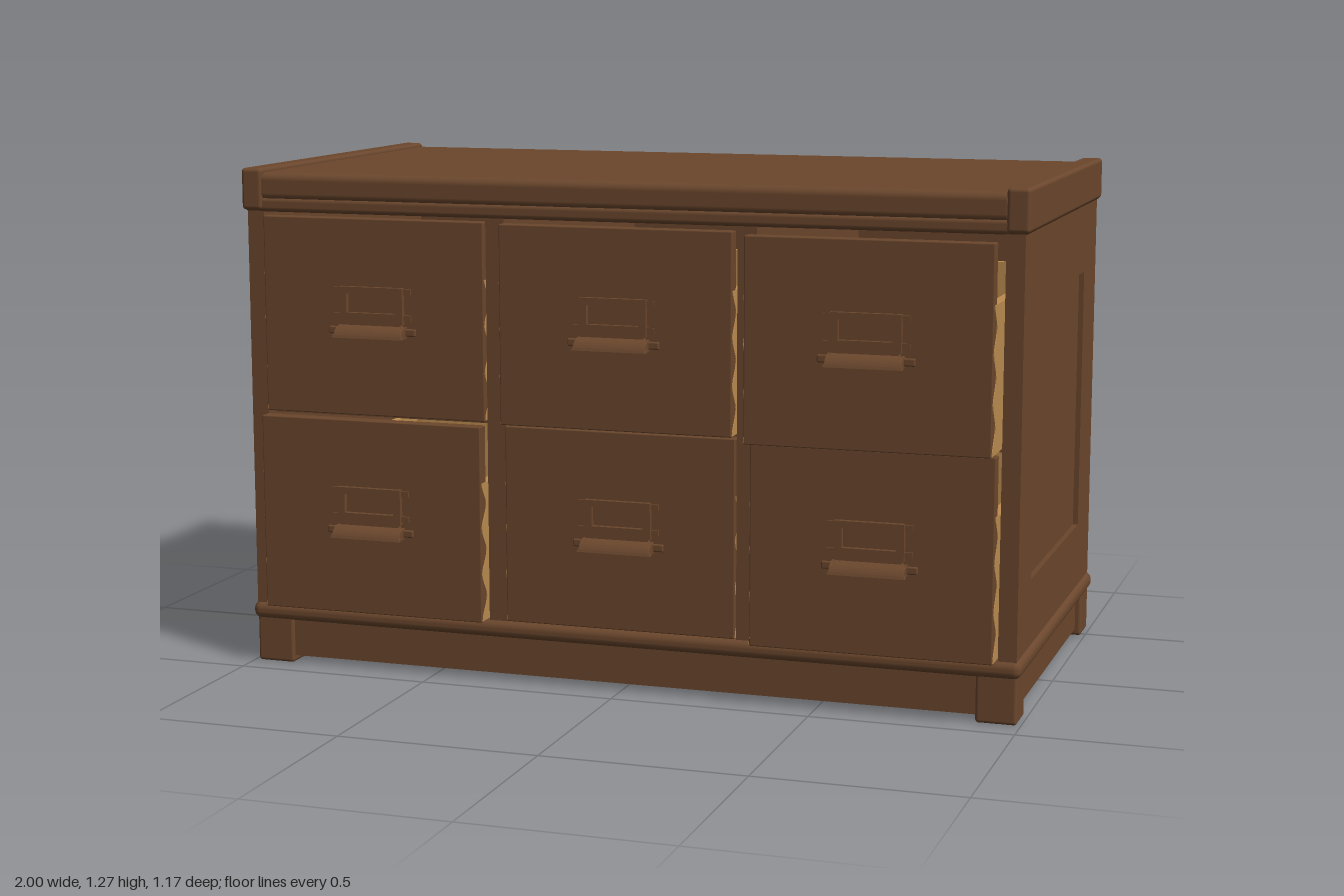
import * as THREE from 'three';
import { RoundedBoxGeometry } from 'three/addons/geometries/RoundedBoxGeometry.js';

const material = (name, color) => {
  const m = new THREE.MeshStandardMaterial({ color });
  m.name = name;
  return m;
};

export function createModel() {
  const brown = material('brown wood', 0x6b472d);
  const pale = material('pale wood', 0xbd8c50);
  const model = new THREE.Group();
  model.name = 'drawerCabinet';

  const add = (parent, name, geometry, mat = brown) => {
    const mesh = new THREE.Mesh(geometry, mat);
    mesh.name = name;
    parent.add(mesh);
    return mesh;
  };
  // Box given by its limits on each axis, optionally with rounded edges
  const box = (parent, name, [x0, x1], [y0, y1], [z0, z1], mat = brown, radius = 0) => {
    const size = [x1 - x0, y1 - y0, z1 - z0];
    const g = radius ? new RoundedBoxGeometry(...size, 3, radius) : new THREE.BoxGeometry(...size);
    g.translate((x0 + x1) / 2, (y0 + y1) / 2, (z0 + z1) / 2);
    return add(parent, name, g, mat);
  };
  // Outline drawn in (z, y), extruded along x from x0 to x1
  const extrudeX = (parent, name, shape, x0, x1, mat = brown, curveSegments = 8) => {
    const g = new THREE.ExtrudeGeometry(shape, { depth: x1 - x0, bevelEnabled: false, curveSegments });
    g.rotateY(-Math.PI / 2).translate(x1, 0, 0);
    return add(parent, name, g, mat);
  };
  const rect = (Kind, x0, x1, y0, y1) => {
    const s = new Kind();
    s.moveTo(x0, y0).lineTo(x1, y0).lineTo(x1, y1).lineTo(x0, y1).closePath();
    return s;
  };

  // Carcass
  box(model, 'floorBoard', [-0.97, 0.97], [0.115, 0.157], [-0.56, 0.42]);
  box(model, 'backPanel', [-0.985, 0.985], [0.15, 1.165], [-0.577, -0.555]);
  box(model, 'middleShelf', [-0.95, 0.95], [0.65, 0.662], [-0.56, 0.4]);
  for (const x of [-0.322, 0.322]) box(model, 'divider', [x - 0.024, x + 0.024], [0.15, 1.165], [-0.56, 0.428]);

  // Side walls with a sunk panel
  for (const s of [-1, 1]) {
    const frame = rect(THREE.Shape, -0.576, 0.43, 0.15, 1.165);
    frame.holes.push(rect(THREE.Path, -0.4, 0.265, 0.32, 0.99));
    const outer = s * 0.988, inner = s * 0.943;
    extrudeX(model, 'sideFrame', frame, Math.min(outer, inner), Math.max(outer, inner));
    box(model, 'sidePanel', [s * 0.9605 - 0.0145, s * 0.9605 + 0.0145], [0.31, 1], [-0.41, 0.275]);
  }

  // Top board, moulding and raised ends
  box(model, 'topMoulding', [-0.997, 0.997], [1.163, 1.2], [-0.578, 0.436], brown, 0.012);
  box(model, 'topBoard', [-0.96, 0.96], [1.19, 1.262], [-0.582, 0.437], brown, 0.02);
  for (const s of [-1, 1])
    box(model, 'topEnd', [s * 0.972 - 0.028, s * 0.972 + 0.028], [1.167, 1.272], [-0.579, 0.441], brown, 0.01);

  // Base moulding, plinth and feet
  box(model, 'baseMoulding', [-1, 1], [0.112, 0.157], [-0.583, 0.44], brown, 0.02);
  for (const z of [-0.555, 0.408]) box(model, 'plinthRail', [-0.95, 0.95], [0.018, 0.125], [z - 0.012, z + 0.012]);
  for (const s of [-1, 1]) {
    box(model, 'plinthSide', [s * 0.962 - 0.012, s * 0.962 + 0.012], [0.018, 0.125], [-0.55, 0.4]);
    for (const z of [-0.527, 0.38])
      box(model, 'foot', [s * 0.94 - 0.05, s * 0.94 + 0.05], [0, 0.125], [z - 0.049, z + 0.049], brown, 0.008);
  }

  // Label holder and cup pull; z = 0 is the drawer face
  const addPull = (parent) => {
    const pull = new THREE.Group();
    pull.name = 'labelPull';
    parent.add(pull);
    const frame = rect(THREE.Shape, -0.085, 0.085, 0.235, 0.325);
    frame.holes.push(rect(THREE.Path, -0.066, 0.066, 0.26, 0.308));
    add(pull, 'labelFrame', new THREE.ExtrudeGeometry(frame, { depth: 0.014, bevelEnabled: false }));
    box(pull, 'pullPlate', [-0.08, 0.08], [0.205, 0.24], [0, 0.014]);
    for (const s of [-1, 1]) {
      box(pull, 'tab', [s * 0.1 - 0.017, s * 0.1 + 0.017], [0.205, 0.224], [0, 0.009], brown, 0.004);
      for (const y of [0.25, 0.315]) box(pull, 'corner', [s * 0.092 - 0.012, s * 0.092 + 0.012], [y - 0.007, y + 0.007], [0, 0.006]);
    }
    // Hooded cup, narrower toward the top
    const cup = new THREE.Shape();
    cup.moveTo(0, 0.232).quadraticCurveTo(0.034, 0.23, 0.043, 0.2);
    cup.lineTo(0.035, 0.2).quadraticCurveTo(0.028, 0.217, 0, 0.222).closePath();
    const hood = extrudeX(pull, 'cupPull', cup, -0.095, 0.095);
    const p = hood.geometry.attributes.position;
    for (let i = 0; i < p.count; i++)
      p.setX(i, p.getX(i) * (1 - Math.max(0, p.getY(i) - 0.2) * 5));
    hood.geometry.computeVertexNormals();
    for (const s of [-1, 1]) {
      const cheek = new THREE.Shape();
      cheek.moveTo(0, 0.2).lineTo(0.041, 0.2).quadraticCurveTo(0.033, 0.226, 0, 0.228).closePath();
      extrudeX(pull, 'cupEnd', cheek, s * 0.088 - 0.003, s * 0.088 + 0.003);
    }
  };

  // Drawer: front, scalloped pale sides, back and floor
  const addDrawer = (x, y, z) => {
    const drawer = new THREE.Group();
    drawer.name = 'drawer';
    drawer.position.set(x, y, z);
    model.add(drawer);
    box(drawer, 'drawerFront', [-0.296, 0.296], [0, 0.494], [-0.036, 0], brown, 0.003);
    const side = new THREE.Shape();
    side.moveTo(-0.94, 0.003);
    for (let i = 0; i <= 36; i++) {
      const t = i / 36;
      side.lineTo(-0.018 + 0.014 * Math.cos(t * Math.PI * 6), 0.003 + t * 0.349);
    }
    side.lineTo(-0.94, 0.352).closePath();
    extrudeX(drawer, 'drawerSide', side, -0.298, -0.274, pale);
    extrudeX(drawer, 'drawerSide', side, 0.274, 0.298, pale);
    box(drawer, 'drawerBack', [-0.28, 0.28], [0.003, 0.35], [-0.938, -0.918], pale);
    box(drawer, 'drawerFloor', [-0.28, 0.28], [0.005, 0.02], [-0.93, -0.03]);
    addPull(drawer);
  };

  // Two rows of three drawers, each pulled out by a different amount
  const rows = [[0.158, [0.475, 0.437, 0.486]], [0.66, [0.442, 0.468, 0.543]]];
  for (const [y, fronts] of rows)
    fronts.forEach((z, i) => addDrawer((i - 1) * 0.644, y, z));

  return model;
}
